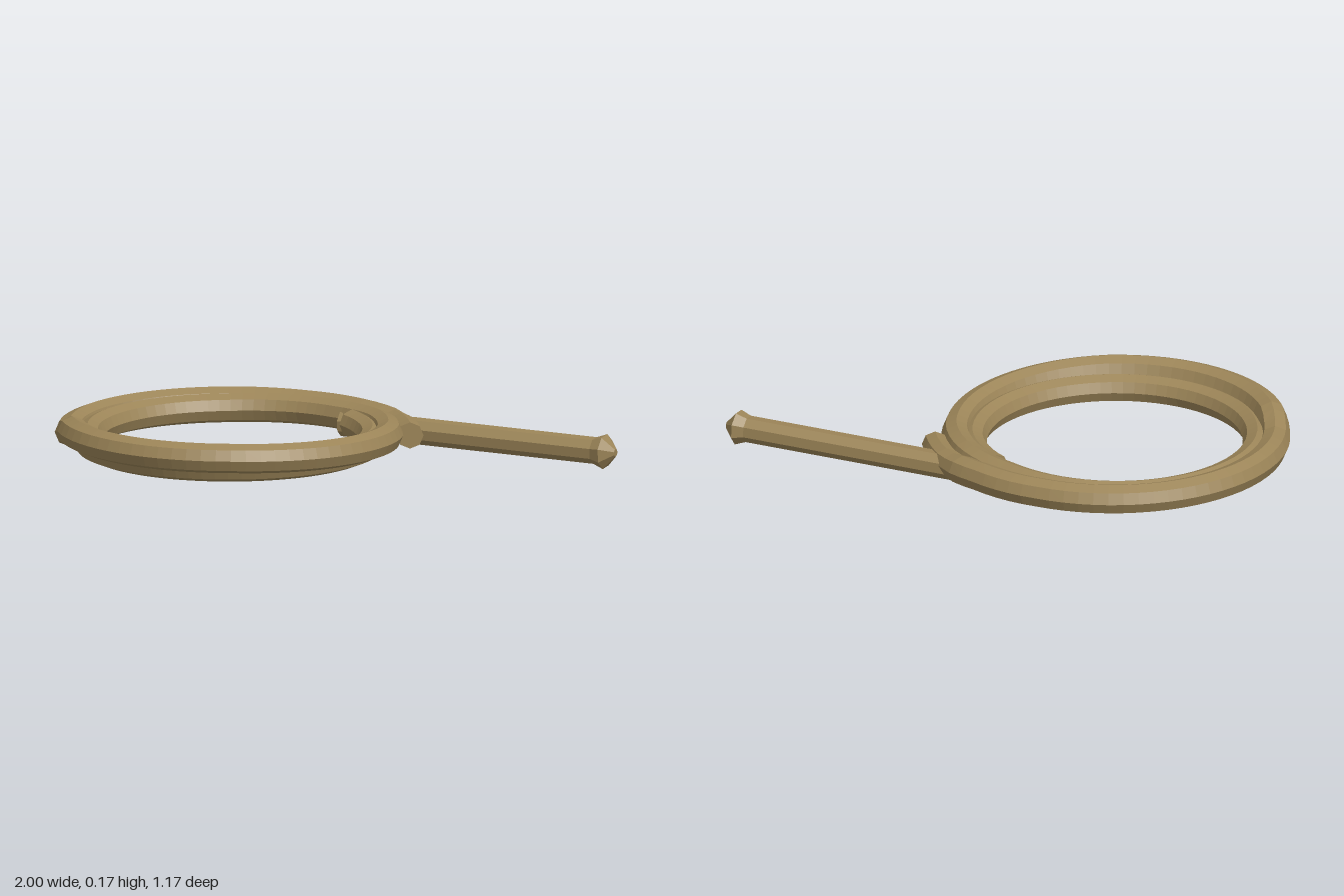
import * as THREE from 'three';

const rope = new THREE.MeshStandardMaterial({ color: 0x9c8558, flatShading: true });
rope.name = 'tan rope';

// Keys along the two-turn coil: [angle in degrees, radius, height]
const KEYS = [
  [0, 0.64, 0.078], [17, 0.63, 0.08], [35, 0.595, 0.085], [60, 0.575, 0.085], [176, 0.57, 0.085],
  [188, 0.57, 0.119], [270, 0.57, 0.116], [355, 0.565, 0.092], [375, 0.55, 0.092],
  [400, 0.52, 0.085], [450, 0.51, 0.075], [540, 0.507, 0.07], [720, 0.507, 0.07], [748, 0.495, 0.075],
];

function keyAt(angle) {
  let k = 0;
  while (k < KEYS.length - 2 && angle > KEYS[k + 1][0]) k++;
  const [a, b] = [KEYS[k], KEYS[k + 1]];
  const t = (angle - a[0]) / (b[0] - a[0]);
  return [1, 2].map((i) => a[i] + (b[i] - a[i]) * t);
}

// Octagonal section swept around a slightly oval spiral, closed at both ends
function coilGeometry(steps = 150, sides = 8) {
  const pos = [], index = [];
  const end = KEYS[KEYS.length - 1][0];
  const centre = (angle) => {
    const [radius, y] = keyAt(angle), a = THREE.MathUtils.degToRad(angle);
    return new THREE.Vector3(-0.375 + radius * Math.cos(a), y, -0.93 * radius * Math.sin(a));
  };
  for (let i = 0; i <= steps; i++) {
    const angle = (end * i) / steps, a = THREE.MathUtils.degToRad(angle);
    const c = centre(angle);
    const r = 0.055 - 0.004 * (i / steps) - (angle < 20 ? 0.007 : 0);
    for (let j = 0; j < sides; j++) {
      const b = (j / sides) * Math.PI * 2, out = r * Math.cos(b);
      pos.push(c.x + out * Math.cos(a), c.y + r * Math.sin(b), c.z - out * Math.sin(a));
    }
  }
  for (let i = 0; i < steps; i++) {
    for (let j = 0; j < sides; j++) {
      const p = i * sides + j, q = i * sides + ((j + 1) % sides);
      index.push(p, p + sides, q, q, p + sides, q + sides);
    }
  }
  const last = steps * sides;
  for (let j = 1; j < sides - 1; j++) {
    index.push(0, j, j + 1, last, last + j + 1, last + j);
  }
  const g = new THREE.BufferGeometry();
  g.setAttribute('position', new THREE.Float32BufferAttribute(pos, 3));
  g.setIndex(index);
  g.computeVertexNormals();
  return g;
}

export function createModel() {
  const model = new THREE.Group();
  model.name = 'coiledRope';

  const coil = new THREE.Mesh(coilGeometry(), rope);
  coil.name = 'coil';
  model.add(coil);

  // Straight tail running out from under the coil, with a flared knob at its end
  const from = new THREE.Vector3(0.03, 0.065, -0.27), to = new THREE.Vector3(0.955, 0.065, 0.215);
  const dir = to.clone().sub(from), length = dir.length();
  const tail = new THREE.Group();
  tail.name = 'tail';
  tail.position.copy(from);
  tail.quaternion.setFromUnitVectors(new THREE.Vector3(0, 1, 0), dir.normalize());

  const addPart = (name, top, bottom, start, height) => {
    const mesh = new THREE.Mesh(new THREE.CylinderGeometry(top, bottom, height, 8), rope);
    mesh.name = name;
    mesh.position.y = start + height / 2;
    tail.add(mesh);
  };
  addPart('shaft', 0.048, 0.048, 0, length - 0.03);
  addPart('knobFlare', 0.063, 0.048, length - 0.04, 0.04);
  addPart('knobTip', 0.014, 0.063, length, 0.042);
  model.add(tail);

  return model;
}
